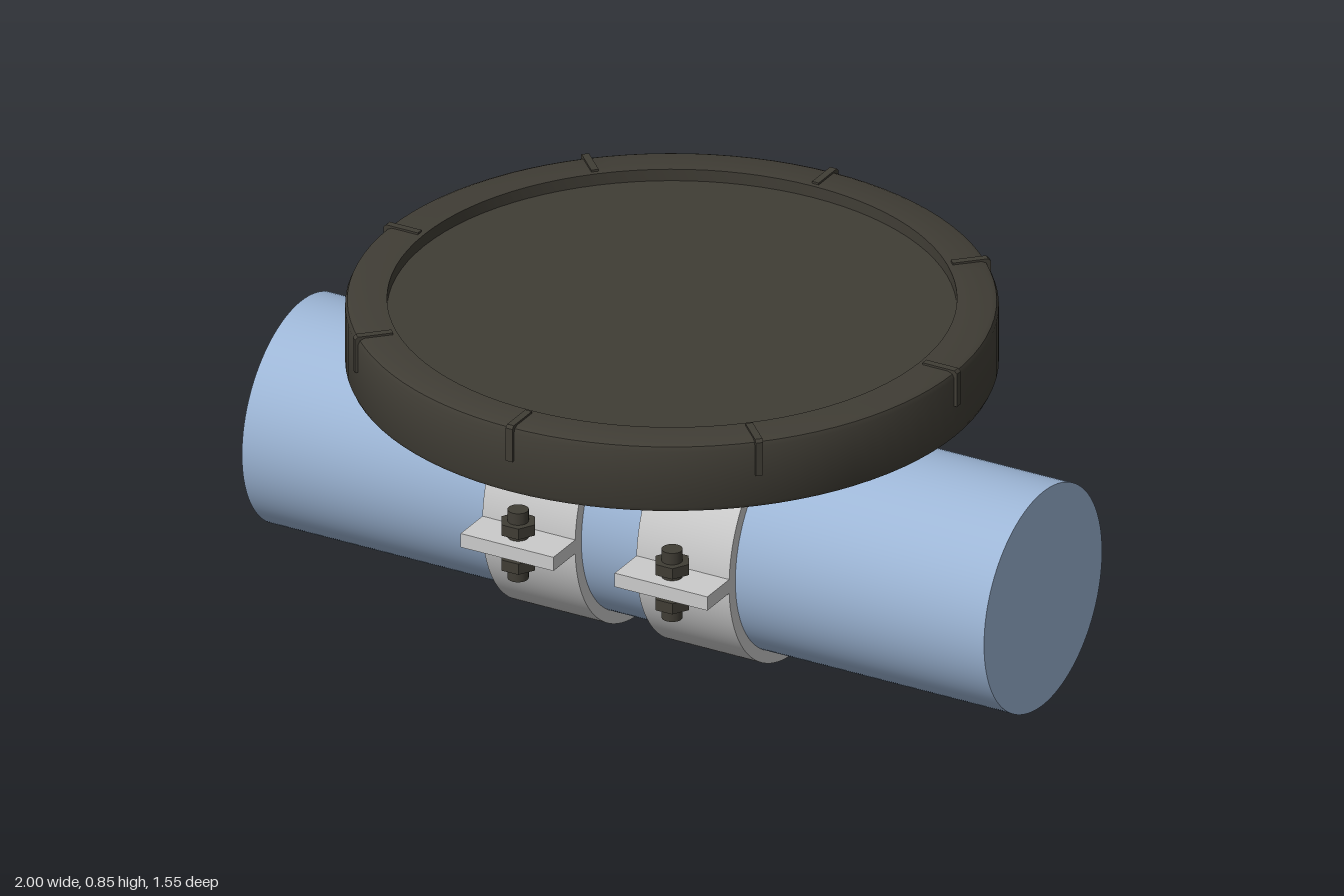
import * as THREE from 'three';
import { toCreasedNormals } from 'three/addons/utils/BufferGeometryUtils.js';

const grey = new THREE.MeshStandardMaterial({ color: 0xcccccc });
const blue = new THREE.MeshStandardMaterial({ color: 0x9db6d6 });
const dark = new THREE.MeshStandardMaterial({ color: 0x403d35 });

const AXIS_Y = 0.31, PIPE_R = 0.28, CLAMP_R = 0.31, CLAMP_W = 0.25;

function add(parent, name, geometry, material, x = 0, y = 0, z = 0) {
  const mesh = new THREE.Mesh(geometry, material);
  mesh.name = name;
  mesh.position.set(x, y, z);
  parent.add(mesh);
  return mesh;
}

// Revolved profile with crisp edges
function lathe(points) {
  const profile = points.map(([r, y]) => new THREE.Vector2(r, y));
  return toCreasedNormals(new THREE.LatheGeometry(profile, 96), 0.5);
}

// Stud with one hexagonal nut above and one below the flange
function createBolt() {
  const bolt = new THREE.Group();
  bolt.name = 'bolt';
  add(bolt, 'stud', new THREE.CylinderGeometry(0.025, 0.025, 0.18, 20), dark);
  for (const s of [-1, 1]) {
    const nut = new THREE.CylinderGeometry(0.045, 0.045, 0.028, 6).rotateY(Math.PI / 6);
    add(bolt, 'nut', toCreasedNormals(nut, 0.5), dark, 0, s * 0.046, 0);
  }
  return bolt;
}

// Open strap around the lower pipe, with a bolted flange on each side
function createClamp() {
  const clamp = new THREE.Group();
  clamp.name = 'clamp';
  const a = 0.81, b = Math.PI - a;
  const band = new THREE.Shape();
  band.absarc(0, 0, CLAMP_R, a, b, true);
  band.absarc(0, 0, PIPE_R, b, a, false);
  const strap = new THREE.ExtrudeGeometry(band, { depth: CLAMP_W, bevelEnabled: false, curveSegments: 64 });
  strap.translate(0, 0, -CLAMP_W / 2).rotateY(Math.PI / 2);
  add(clamp, 'strap', toCreasedNormals(strap, 0.5), grey);
  for (const s of [-1, 1]) {
    add(clamp, 'flange', new THREE.BoxGeometry(CLAMP_W, 0.036, 0.115), grey, 0, 0, s * 0.3555);
    const bolt = createBolt();
    bolt.position.z = s * 0.36;
    clamp.add(bolt);
  }
  return clamp;
}

export function createModel() {
  const model = new THREE.Group();
  model.name = 'discOnPipe';

  // Horizontal pipe
  const pipe = new THREE.CylinderGeometry(PIPE_R, PIPE_R, 2, 96).rotateZ(Math.PI / 2);
  add(model, 'pipe', pipe, blue, 0, AXIS_Y, 0);

  // Two clamps
  for (const x of [-0.21, 0.205]) {
    const clamp = createClamp();
    clamp.position.set(x, AXIS_Y, 0);
    model.add(clamp);
  }

  // Conical saddle running down into the pipe
  add(model, 'cone', lathe([[0, 0.421], [0.2, 0.421], [0.66, 0.675]]), grey);

  // Disc with softened edges and a shallow recessed top
  add(model, 'disc', lathe([
    [0, 0.67], [0.75, 0.67], [0.761, 0.675], [0.766, 0.686],
    [0.766, 0.832], [0.761, 0.843], [0.75, 0.848],
    [0.668, 0.848], [0.668, 0.818], [0, 0.818],
  ]), dark);

  // Eight L-shaped ribs hooked over the rim
  const hook = new THREE.Shape([
    [0.68, 0.83], [0.68, 0.853], [0.766, 0.853], [0.773, 0.846],
    [0.773, 0.76], [0.755, 0.76], [0.755, 0.83],
  ].map(([x, y]) => new THREE.Vector2(x, y)));
  const rib = new THREE.ExtrudeGeometry(hook, { depth: 0.018, bevelEnabled: false });
  rib.translate(0, 0, -0.009);
  for (let i = 0; i < 8; i++) add(model, 'rimRib', rib, dark).rotation.y = i * Math.PI / 4;

  return model;
}
